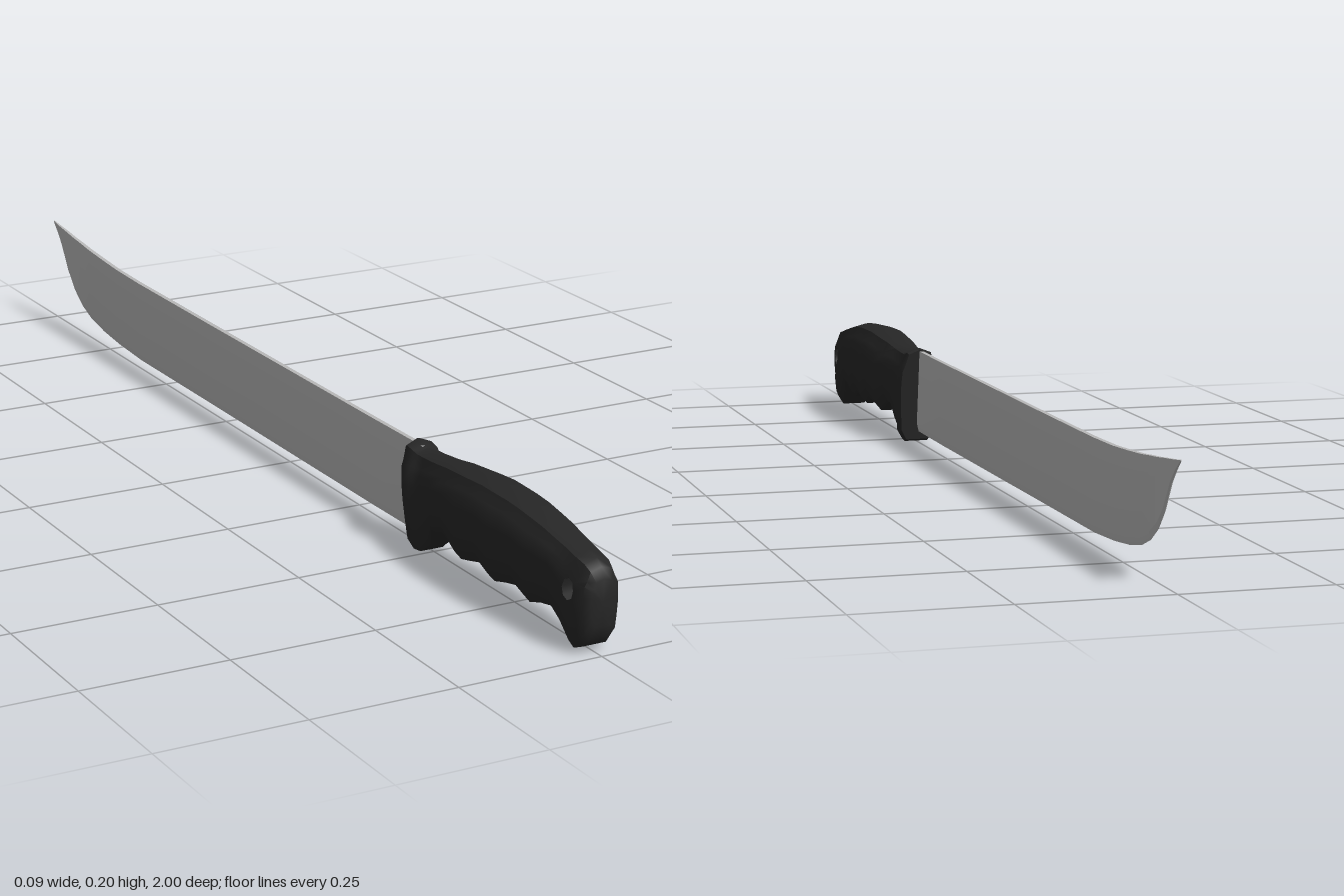
import * as THREE from 'three';
import { toCreasedNormals } from 'three/addons/utils/BufferGeometryUtils.js';

// Skins closed rings of [x, y, z] (counter-clockwise seen from +z, running towards -z).
function loft(rings, crease, skip = () => false, extra = []) {
  const n = rings[0].length;
  const positions = rings.flat(2);
  const index = [...extra];
  for (let i = 0; i < rings.length - 1; i++) {
    for (let k = 0; k < n; k++) {
      if (skip(i, k)) continue;
      const a = i * n + k, b = i * n + (k + 1) % n;
      index.push(a, a + n, b + n, a, b + n, b);
    }
  }
  // End caps
  [0, rings.length - 1].forEach((r, end) => {
    const c = positions.length / 3;
    for (let ax = 0; ax < 3; ax++) positions.push(rings[r].reduce((s, p) => s + p[ax], 0) / n);
    for (let k = 0; k < n; k++) {
      const a = r * n + k, b = r * n + (k + 1) % n;
      if (end) index.push(c, b, a);
      else index.push(c, a, b);
    }
  });
  const geo = new THREE.BufferGeometry();
  geo.setAttribute('position', new THREE.Float32BufferAttribute(positions, 3));
  geo.setIndex(index);
  return toCreasedNormals(geo, crease);
}

// Grip with finger grooves, palm swell, flared guard and a lanyard hole
function handleGeometry() {
  // Half cross-section: [height fraction, width fraction]
  const section = [[0, 0], [0, 0.6], [0.1, 0.88], [0.28, 0.95], [0.46, 1],
    [0.62, 1], [0.76, 0.95], [0.82, 0.82], [0.95, 0.62], [1, 0]];
  // Stations: [z, bottom, top, half width]
  const stations = [
    [1, 0.05, 0.125, 0.022], [0.992, 0.028, 0.142, 0.031], [0.978, 0.012, 0.152, 0.035],
    [0.955, 0.002, 0.157, 0.036], [0.93, 0.028, 0.162, 0.037], [0.9, 0.05, 0.167, 0.039],
    [0.865, 0.044, 0.175, 0.041], [0.835, 0.035, 0.18, 0.043], [0.8, 0.05, 0.184, 0.045],
    [0.765, 0.043, 0.187, 0.046], [0.735, 0.035, 0.188, 0.047], [0.695, 0.052, 0.188, 0.047],
    [0.66, 0.043, 0.186, 0.046], [0.63, 0.036, 0.184, 0.044], [0.58, 0.06, 0.179, 0.04],
    [0.54, 0.05, 0.174, 0.036], [0.51, 0.024, 0.172, 0.033], [0.488, 0.008, 0.172, 0.032],
    [0.48, 0.002, 0.176, 0.036], [0.46, 0, 0.18, 0.037], [0.453, 0.004, 0.177, 0.034]];
  const m = section.length - 1, n = 2 * m;
  const holeI = 3, holeK = 5;
  const rings = stations.map(([z, low, high, w]) => {
    const ring = [];
    for (let k = 0; k < n; k++) {
      const [t, x] = section[k <= m ? k : n - k];
      const slant = z < 0.53 ? (0.5 - t) * 0.026 : 0;
      ring.push([(k <= m ? 1 : -1) * x * w, low + t * (high - low), z + slant]);
    }
    return ring;
  });
  // Pull the grid around the hole into an octagon and wall the tunnel
  const rim = [];
  for (let s = 0; s < 8; s++) {
    const a = s * Math.PI / 4;
    const i = holeI + Math.round(Math.cos(a)), k = holeK + Math.round(Math.sin(a));
    for (const q of [k, n - k]) {
      rings[i][q][1] = 0.1 + 0.018 * Math.sin(a);
      rings[i][q][2] = 0.955 - 0.014 * Math.cos(a);
    }
    rim.push([i * n + k, i * n + n - k]);
  }
  const tunnel = rim.flatMap(([p, q], s) => {
    const [p2, q2] = rim[(s + 1) % 8];
    return [p, p2, q, p2, q2, q];
  });
  const skip = (i, k) => {
    const side = k < m ? k : n - 1 - k;
    return (i === holeI - 1 || i === holeI) && (side === holeK - 1 || side === holeK);
  };
  return loft(rings, 0.75, skip, tunnel);
}

// Long flat blade with a ground edge and an upswept tip
function bladeGeometry() {
  // Stations: [z, edge, spine, half thickness]
  const stations = [[0.47, 0.019, 0.174, 0.004], [0.3, 0.018, 0.173, 0.004],
    [-0.3, 0.019, 0.172, 0.004], [-0.6, 0.019, 0.172, 0.004], [-0.7, 0.024, 0.174, 0.004],
    [-0.77, 0.031, 0.178, 0.004], [-0.83, 0.042, 0.182, 0.0038], [-0.87, 0.057, 0.186, 0.0035],
    [-0.905, 0.08, 0.189, 0.0032], [-0.93, 0.107, 0.192, 0.003], [-0.96, 0.157, 0.195, 0.0025],
    [-0.98, 0.18, 0.197, 0.002], [-1, 0.198, 0.2, 0.001]];
  const rings = stations.map(([z, low, high, h]) => {
    const grind = low + (high - low) * 0.1;
    return [[0, low], [h, grind], [h, high], [-h, high], [-h, grind]].map(([x, y]) => [x - 0.003, y, z]);
  });
  return loft(rings, 0.3);
}

export function createModel() {
  const rubber = new THREE.MeshStandardMaterial({ color: 0x262626 });
  rubber.name = 'black rubber';
  const steel = new THREE.MeshStandardMaterial({ color: 0xb8b8b8 });
  steel.name = 'grey steel';

  const model = new THREE.Group();
  model.name = 'machete';
  const handle = new THREE.Mesh(handleGeometry(), rubber);
  handle.name = 'handle';
  const blade = new THREE.Mesh(bladeGeometry(), steel);
  blade.name = 'blade';
  model.add(handle, blade);
  return model;
}
